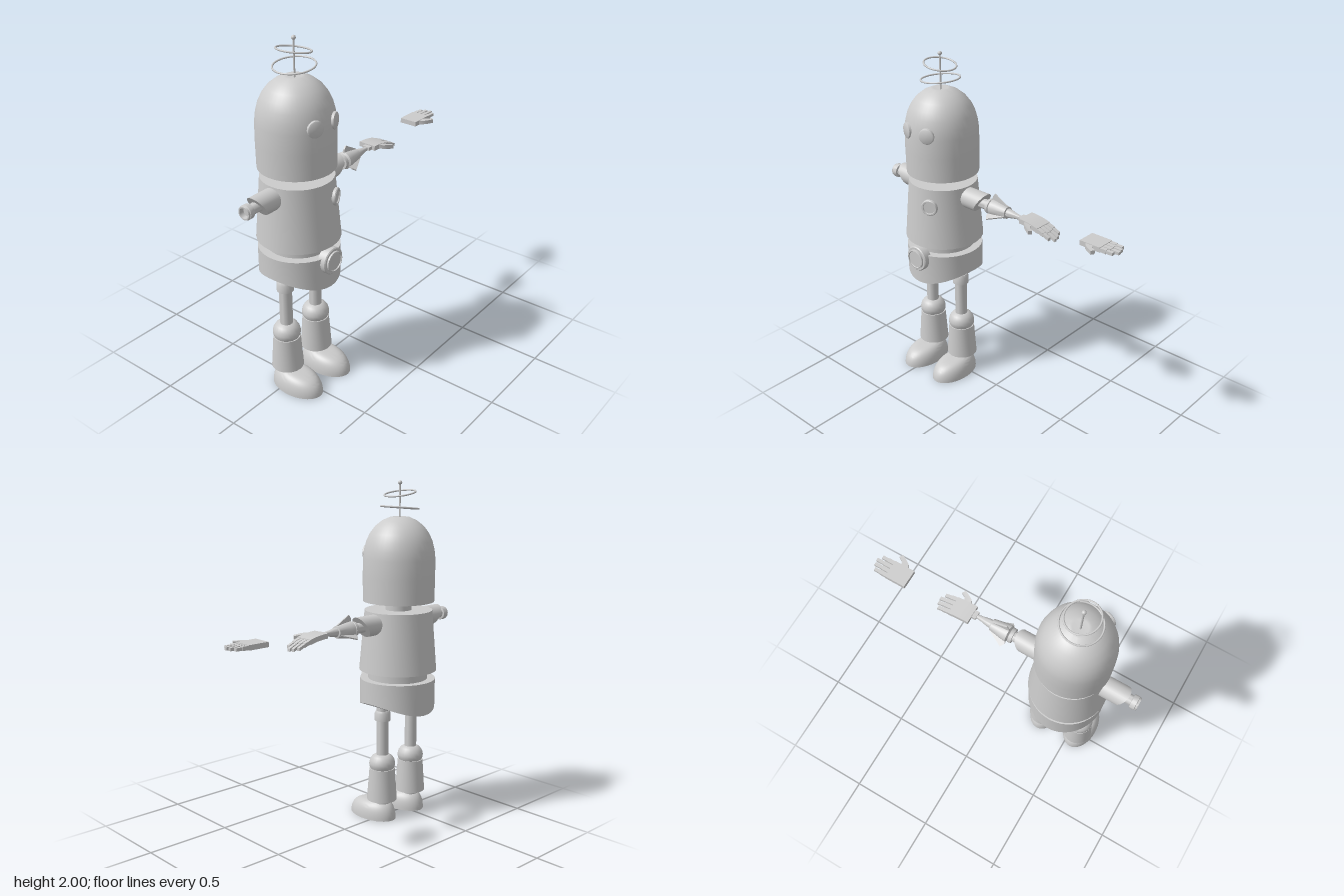
import * as THREE from 'three';
import { toCreasedNormals } from 'three/addons/utils/BufferGeometryUtils.js';

const material = new THREE.MeshStandardMaterial({ color: 0xcccccc });

function part(parent, name, geometry, x = 0, y = 0, z = 0) {
  const mesh = new THREE.Mesh(geometry, material);
  mesh.name = name;
  mesh.position.set(x, y, z);
  parent.add(mesh);
  return mesh;
}

// Turned solid from [radius, height] pairs, with sharp edges kept
const turned = (pts, sides = 32) => toCreasedNormals(
  new THREE.LatheGeometry(pts.map(p => new THREE.Vector2(...p)), sides), 0.6);

// The same, with the axis along +x or +z
const turnedX = (pts, sides) => turned(pts, sides).rotateZ(-Math.PI / 2);
const turnedZ = (pts, sides) => turned(pts, sides).rotateX(Math.PI / 2);

// Moves every vertex by a rule
function reshape(geometry, rule) {
  const pos = geometry.attributes.position;
  const v = new THREE.Vector3();
  for (let i = 0; i < pos.count; i++) {
    rule(v.fromBufferAttribute(pos, i));
    pos.setXYZ(i, v.x, v.y, v.z);
  }
  return toCreasedNormals(geometry, 0.6);
}

function buildHead(body) {
  const profile = [[0, 1.312], [0.208, 1.312], [0.21, 1.45], [0.209, 1.56], [0.203, 1.61],
    [0.19, 1.66], [0.17, 1.703], [0.14, 1.743], [0.1, 1.775], [0.055, 1.795], [0.04, 1.797], [0, 1.785]];
  part(body, 'head', turned(profile, 40));
  part(body, 'neck', turned([[0, 1.2], [0.077, 1.2], [0.077, 1.33], [0, 1.33]]));

  // Eyes face outward from the head's curve
  for (const side of [-1, 1]) {
    const eye = part(body, 'eye', turnedZ([[0, 0.15], [0.045, 0.15], [0.045, 0.213], [0.038, 0.217], [0, 0.217]], 16), 0, 1.582);
    eye.rotation.y = side * 0.37;
  }

  // Antenna with two tilted hoops
  part(body, 'antennaRod', new THREE.CylinderGeometry(0.005, 0.005, 0.22, 10), 0, 1.885);
  part(body, 'antennaTip', new THREE.SphereGeometry(0.012, 14, 10), 0, 1.988);
  for (const [y, r, tilt] of [[1.928, 0.09, -0.175], [1.848, 0.109, 0.1]]) {
    const hoop = part(body, 'antennaHoop', new THREE.TorusGeometry(r, 0.005, 8, 40).rotateX(Math.PI / 2), 0, y);
    hoop.rotation.z = tilt;
  }
}

function buildTorso(body) {
  part(body, 'torso', turned([[0, 0.905], [0.228, 0.905], [0.198, 1.26], [0, 1.26]]));
  part(body, 'waist', turned([[0, 0.84], [0.175, 0.84], [0.175, 0.92], [0, 0.92]]));

  // Pelvis underside curves up towards the hips
  const pelvis = [0, 0.05, 0.1, 0.15, 0.19, 0.222].map(r => new THREE.Vector2(r, 0.66));
  pelvis.push(new THREE.Vector2(0.222, 0.852), new THREE.Vector2(0, 0.852));
  part(body, 'pelvis', reshape(new THREE.LatheGeometry(pelvis, 40), v => {
    if (v.y < 0.7) v.y += 0.062 * (v.x / 0.222) ** 2;
  }));

  // Stepped dials on belly and chest
  part(body, 'bellyDial', turnedZ([[0, 0.19], [0.075, 0.19], [0.075, 0.235], [0.07, 0.24],
    [0.058, 0.24], [0.058, 0.25], [0.052, 0.252], [0.05, 0.246], [0, 0.246]]), 0, 0.82);
  const dial = part(body, 'chestDial', turnedZ([[0, 0.17], [0.048, 0.17], [0.048, 0.215], [0.044, 0.22],
    [0.036, 0.22], [0.034, 0.214], [0, 0.214]], 24), 0, 1.157);
  dial.rotation.y = 0.385;
}

function buildLeg(body, side) {
  const leg = new THREE.Group();
  leg.name = side > 0 ? 'leftLeg' : 'rightLeg';
  leg.position.x = side * 0.123;
  body.add(leg);
  part(leg, 'hipCollar', turned([[0, 0.61], [0.047, 0.61], [0.047, 0.656], [0.04, 0.67], [0, 0.67]], 24));
  part(leg, 'thigh', turned([[0, 0.36], [0.036, 0.36], [0.036, 0.74], [0, 0.74]], 24));
  part(leg, 'knee', turned([[0, 0.312], [0.07, 0.314], [0.077, 0.33], [0.078, 0.346], [0.073, 0.367],
    [0.06, 0.387], [0.042, 0.399], [0, 0.402]], 24));
  part(leg, 'shin', turned([[0, 0.118], [0.09, 0.118], [0.076, 0.314], [0, 0.314]], 24));
  part(leg, 'ankle', turned([[0, 0.08], [0.05, 0.08], [0.05, 0.13], [0, 0.13]], 24));

  // Foot: full dome, lower towards the toe, with a flat sole
  const dome = new THREE.SphereGeometry(1, 36, 18, 0, Math.PI * 2, 0, Math.PI / 2);
  part(leg, 'foot', reshape(dome, v => {
    const rho = Math.min(1, Math.hypot(v.x, v.z));
    const dz = v.z * 0.162;
    v.set(v.x * 0.102, Math.sqrt(1 - rho ** 4) * (0.105 - 0.09 * dz), dz);
  }), 0, 0, 0.072);
  const sole = new THREE.CircleGeometry(1, 36).rotateX(Math.PI / 2).scale(0.102, 1, 0.162);
  part(leg, 'sole', sole, 0, 0, 0.072);
}

// Slanted shoulder sleeve: longer on top than underneath
function buildSleeve(body, side) {
  const sleeve = reshape(new THREE.CylinderGeometry(0.06, 0.06, 0.2, 28).rotateZ(-side * Math.PI / 2), v => {
    if (v.x * side > 0) v.x += side * v.y * 0.64;
  });
  part(body, side > 0 ? 'leftSleeve' : 'rightSleeve', sleeve, side * 0.203, 1.192);
}

// Open hand pointing along +x, drooping by a parabola
function buildHand(parent, name, x, y, droop) {
  const hand = new THREE.Group();
  hand.name = name;
  hand.position.set(x, y, -0.01);
  parent.add(hand);
  const bend = v => { v.y -= droop * v.x * v.x; };
  const block = (label, x0, x1, z, height, width) => part(hand, label, reshape(
    new THREE.BoxGeometry(x1 - x0, height, width, 4, 1, 1).translate((x0 + x1) / 2, 0, z), bend));

  block('palm', 0, 0.125, 0, 0.028, 0.108);
  [0.2, 0.215, 0.22, 0.2].forEach((tip, i) => {
    const z = (i - 1.5) * 0.0275;
    const joint = 0.125 + (tip - 0.125) * 0.5;
    block('fingerBase', 0.12, joint, z, 0.022, 0.023);
    block('fingerTip', joint - 0.002, tip, z, 0.017, 0.019);
  });
  const outline = [[0.03, 0.04], [0.05, 0.073], [0.075, 0.09], [0.108, 0.107], [0.12, 0.087], [0.095, 0.073], [0.075, 0.04]];
  const thumb = new THREE.ExtrudeGeometry(new THREE.Shape(outline.map(p => new THREE.Vector2(...p))),
    { depth: 0.022, bevelEnabled: false });
  part(hand, 'thumb', reshape(thumb.rotateX(Math.PI / 2).translate(0, 0.011, 0), bend));
  return hand;
}

function buildArms(body) {
  buildSleeve(body, 1);
  buildSleeve(body, -1);

  // Left arm: shaft, ringed gauntlet and thin wrist
  part(body, 'leftArm', turnedX([[0, 0.2], [0.029, 0.2], [0.029, 0.357], [0.042, 0.357], [0.044, 0.376], [0.036, 0.38],
    [0.05, 0.388], [0.046, 0.42], [0.034, 0.495], [0.025, 0.497], [0.024, 0.515], [0.016, 0.555],
    [0.012, 0.585], [0.012, 0.63], [0, 0.63]], 24), 0, 1.19);
  part(body, 'wristBlock', new THREE.BoxGeometry(0.045, 0.02, 0.046), 0.61, 1.193);

  // Three fins spaced around the gauntlet
  const finShape = new THREE.Shape([[0.385, 0.03], [0.387, 0.066], [0.402, 0.086], [0.492, 0.036], [0.492, 0.02]]
    .map(p => new THREE.Vector2(...p)));
  for (let i = 0; i < 3; i++) {
    const fin = new THREE.ExtrudeGeometry(finShape, { depth: 0.008, bevelEnabled: false }).translate(0, 0, -0.004);
    part(body, 'gauntletFin', fin, 0, 1.19).rotation.x = i * Math.PI * 2 / 3;
  }

  // Right arm: shaft ending in an empty socket
  const stub = part(body, 'rightArmSocket', turnedX([[0, 0.2], [0.029, 0.2], [0.029, 0.36], [0.04, 0.362], [0.041, 0.39],
    [0.037, 0.392], [0.036, 0.402], [0.029, 0.402], [0.027, 0.375], [0, 0.375]], 24), 0, 1.194);
  stub.rotation.y = Math.PI;

  buildHand(body, 'leftHand', 0.612, 1.195, 1.15);
  buildHand(body, 'looseHand', 1.018, 1.208, 0);
}

export function createModel() {
  const model = new THREE.Group();
  model.name = 'robot';
  const body = new THREE.Group();
  body.name = 'body';
  body.position.set(-0.42, 0, -0.012);
  model.add(body);
  buildHead(body);
  buildTorso(body);
  buildLeg(body, 1);
  buildLeg(body, -1);
  buildArms(body);
  return model;
}
